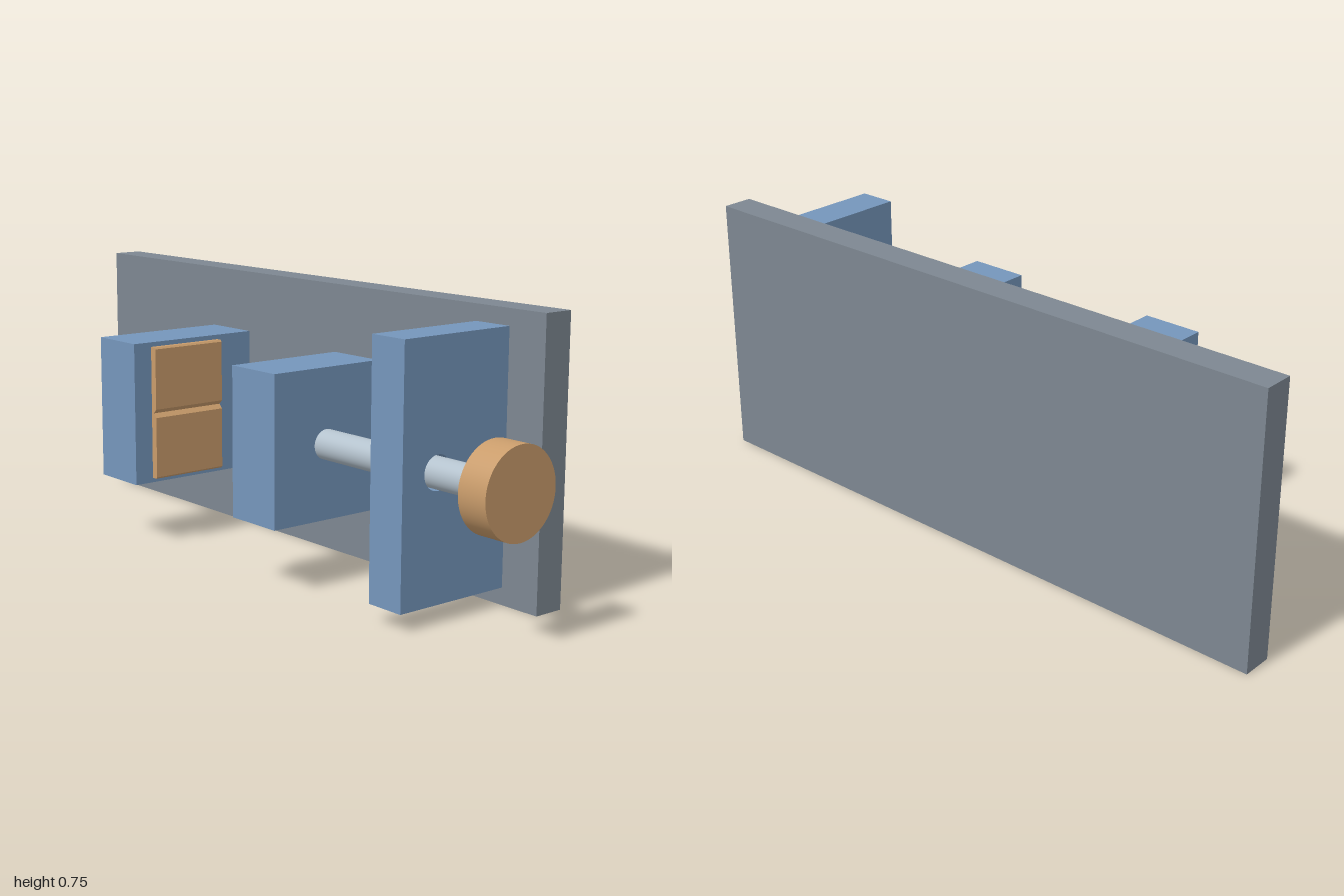
import * as THREE from 'three';

export function createModel() {
  const model = new THREE.Group();
  const material = (name, color) => {
    const m = new THREE.MeshStandardMaterial({ color });
    m.name = name;
    return m;
  };
  const slate = material('slate grey', 0x7d8791);
  const blue = material('steel blue', 0x7596bb);
  const tan = material('bronze tan', 0xc99c6b);
  const silver = material('silver', 0xb4c2cd);
  const teal = material('teal', 0x52b5aa);

  const AXIS_Y = 0.378, AXIS_Z = 0.074; // screw axis

  function add(name, geometry, mat) {
    const mesh = new THREE.Mesh(geometry, mat);
    mesh.name = name;
    model.add(mesh);
    return mesh;
  }
  // Box given by its limits on each axis
  function block(name, mat, [x0, x1], [y0, y1], [z0, z1]) {
    const g = new THREE.BoxGeometry(x1 - x0, y1 - y0, z1 - z0);
    g.translate((x0 + x1) / 2, (y0 + y1) / 2, (z0 + z1) / 2);
    return add(name, g, mat);
  }
  // Cylinder lying along x on the screw axis
  function rod(name, mat, radius, x0, x1) {
    const g = new THREE.CylinderGeometry(radius, radius, x1 - x0, 64);
    g.rotateZ(-Math.PI / 2).translate((x0 + x1) / 2, AXIS_Y, AXIS_Z);
    return add(name, g, mat);
  }

  // Back plate, jaws and slide rail
  block('backPlate', slate, [-1, 0.85], [0, 0.755], [-0.247, -0.16]);
  block('fixedJaw', blue, [-0.47, -0.3], [0.176, 0.58], [-0.16, 0.247]);
  block('movingJaw', blue, [0.15, 0.323], [0.176, 0.58], [-0.103, 0.247]);
  block('slideRail', teal, [0.13, 0.59], [0.32, 0.438], [-0.16, -0.103]);

  // Screw support with a clearance hole
  const plate = new THREE.Shape([[-0.19, 0.046], [0.16, 0.046], [0.16, 0.711], [-0.19, 0.711]]
    .map(([x, y]) => new THREE.Vector2(x, y)));
  plate.holes.push(new THREE.Path().absarc(-AXIS_Z, AXIS_Y, 0.045, 0, Math.PI * 2, true));
  const support = new THREE.ExtrudeGeometry(plate, { depth: 0.112, bevelEnabled: false, curveSegments: 48 });
  support.rotateY(Math.PI / 2).translate(0.62, 0, 0);
  add('screwSupport', support, blue);

  // Screw and its knob
  rod('screw', silver, 0.04, 0.323, 0.914);
  rod('knob', tan, 0.116, 0.914, 1);

  // Grip pads with a horizontal V groove, facing each other
  function gripPad(name, x, turn) {
    const h = 0.189, t = 0.021, c = 0.005, v = 0.012;
    const profile = new THREE.Shape([
      [0, -h], [t - c, -h], [t, -h + c], [t, -v], [t - v, 0], [t, v], [t, h - c], [t - c, h], [0, h],
    ].map(([px, py]) => new THREE.Vector2(px, py)));
    const g = new THREE.ExtrudeGeometry(profile, { depth: 0.232, bevelEnabled: false });
    g.translate(0, 0, -0.116).rotateY(turn).translate(x, AXIS_Y, AXIS_Z);
    add(name, g, tan);
  }
  gripPad('fixedGripPad', -0.3, 0);
  gripPad('movingGripPad', 0.15, Math.PI);

  return model;
}
